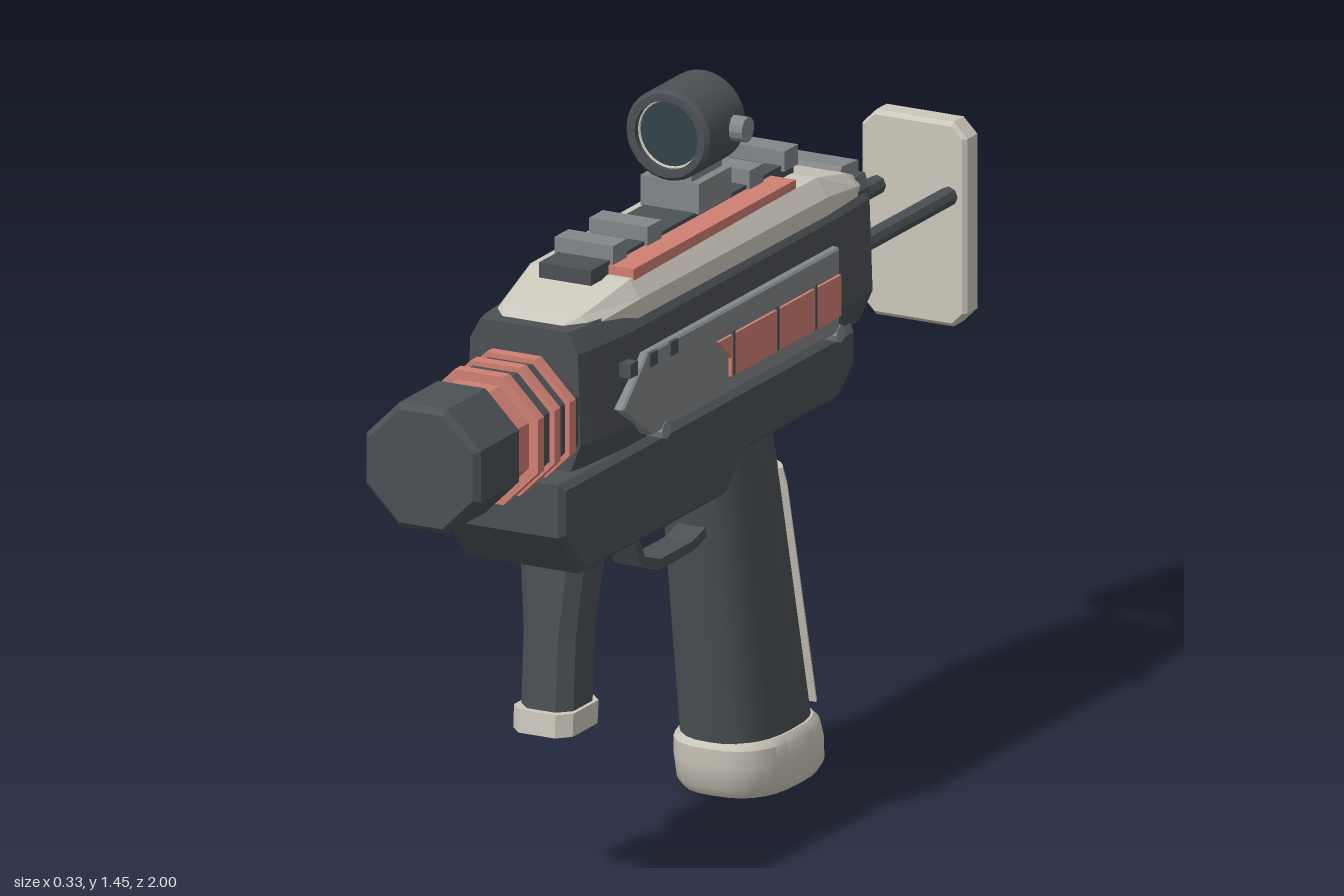
import * as THREE from 'three';
import { toCreasedNormals } from 'three/addons/utils/BufferGeometryUtils.js';

const mat = (color, flatShading = true) => new THREE.MeshStandardMaterial({ color, flatShading });
const DARK = 0x4c5155, GREY = 0x83878a, CREAM = 0xcdc8bc, CORAL = 0xd08073, LENS = 0x33424a;

export function createModel() {
  const model = new THREE.Group();

  const add = (name, geo, color, smooth = false) => {
    const mesh = new THREE.Mesh(smooth ? toCreasedNormals(geo, 0.6) : geo, mat(color, !smooth));
    mesh.name = name;
    model.add(mesh);
    return mesh;
  };
  const box = (name, color, w, h, d, x, y, z) => {
    const mesh = add(name, new THREE.BoxGeometry(w, h, d), color);
    mesh.position.set(x, y, z);
    return mesh;
  };

  // Skin over a series of closed rings, with flat ends
  const loft = (rings) => {
    const n = rings[0].length, idx = [];
    for (let i = 0; i < rings.length - 1; i++)
      for (let j = 0; j < n; j++) {
        const a = i * n + j, b = i * n + (j + 1) % n;
        idx.push(a, b, b + n, a, b + n, a + n);
      }
    const last = (rings.length - 1) * n;
    for (let j = 1; j < n - 1; j++) idx.push(0, j + 1, j, last, last + j, last + j + 1);
    const g = new THREE.BufferGeometry();
    g.setAttribute('position', new THREE.Float32BufferAttribute(rings.flat(2), 3));
    g.setIndex(idx);
    const out = g.toNonIndexed();
    out.computeVertexNormals();
    return out;
  };

  // Side outline in (z, y), extruded across x around the centre
  const slab = (pts, width, bevel) => {
    const shape = new THREE.Shape(pts.map(p => new THREE.Vector2(...p)));
    const depth = width - 2 * bevel;
    const g = new THREE.ExtrudeGeometry(shape, {
      depth, bevelEnabled: bevel > 0, bevelSize: bevel, bevelThickness: bevel, bevelOffset: -bevel, bevelSegments: 1,
    });
    return g.translate(0, 0, -depth / 2).rotateY(-Math.PI / 2);
  };

  // Mirrored cross-section across z, from right-hand points listed bottom to top
  const section = (z, half) => [
    ...half.map(([x, y]) => [x, y, z]),
    ...half.slice().reverse().map(([x, y]) => [-x, y, z]),
  ];

  // Octagonal barrel pieces, flat on top
  const octagon = (name, color, z0, z1, apothem, bevel = 0) => {
    const R = apothem / Math.cos(Math.PI / 8);
    const ring = (z, r) => Array.from({ length: 8 }, (_, i) => {
      const a = (i + 0.5) * Math.PI / 4;
      return [r * Math.cos(a), 0.968 + r * Math.sin(a), z];
    });
    const rings = bevel
      ? [ring(z0, R - bevel), ring(z0 + bevel, R), ring(z1 - bevel, R), ring(z1, R - bevel)]
      : [ring(z0, R), ring(z1, R)];
    add(name, loft(rings), color);
  };
  octagon('muzzle', DARK, 0.825, 1, 0.123, 0.012);
  octagon('muzzleCollar', CORAL, 0.76, 0.83, 0.108);
  octagon('barrel', DARK, 0.5, 0.76, 0.117);
  for (const z of [0.62, 0.68, 0.745]) octagon('barrelRing', CORAL, z, z + 0.025, 0.127);

  // Main housing with its widest line below the middle
  const housing = [[-0.56, 0.84], [-0.53, 0.96], [-0.42, 1], [0.42, 1], [0.56, 0.9], [0.592, 0.84]];
  add('housing', loft(housing.map(([z, s]) => section(z,
    [[0.115 * s, 0.855], [0.145 * s, 0.92], [0.138 * s, 1.1], [0.112 * s, 1.14]]))), DARK);

  // Cream top shell
  const shell = [[-0.55, 0.108, 1.135], [-0.49, 0.128, 1.158], [-0.36, 0.136, 1.186],
    [0.37, 0.13, 1.186], [0.52, 0.104, 1.152], [0.565, 0.075, 1.138]];
  add('topShell', loft(shell.map(([z, w, top]) => section(z,
    [[w, Math.min(1.115, top - 0.025)], [w, top - 0.035 * (top - 1.1) / 0.086], [w * 0.82, top]]))), CREAM);
  add('rearBlock', slab([[-0.48, 0.88], [-0.48, 1.14], [-0.562, 1.14], [-0.562, 0.88]], 0.25, 0.02), DARK);
  add('rearCap', slab([[-0.483, 1.12], [-0.483, 1.15], [-0.495, 1.168], [-0.56, 1.163], [-0.56, 1.12]], 0.185, 0), GREY);
  box('rearButton', CORAL, 0.09, 0.06, 0.03, 0, 1.0, -0.565);

  // Lower frame
  add('lowerFrame', slab([[0.68, 0.865], [0.68, 0.76], [0.595, 0.667], [0.03, 0.667], [-0.04, 0.735],
    [-0.41, 0.735], [-0.478, 0.785], [-0.478, 0.865]], 0.266, 0.012), DARK);

  // Rail, ribs and coloured strip
  box('rail', DARK, 0.112, 0.03, 0.8, 0, 1.197, 0.03);
  for (const z of [0.328, 0.192, -0.211, -0.348]) box('railRib', GREY, 0.126, 0.04, 0.054, 0, 1.221, z);
  box('railStrip', CORAL, 0.06, 0.024, 0.64, 0.08, 1.192, 0.04);

  // Side plates, alike on both sides
  for (const s of [1, -1]) {
    const plate = add('sidePlate', slab([[0.487, 0.965], [0.39, 1.052], [-0.37, 1.052], [-0.37, 0.884], [0.37, 0.884]], 0.03, 0.004), GREY);
    plate.position.x = s * 0.141;
    const panel = add('sidePanel', slab([[0.12, 1.0], [-0.365, 1.0], [-0.365, 0.918], [0.07, 0.918], [0.07, 0.955]], 0.012, 0), CORAL);
    panel.position.x = s * 0.156;
    for (const z of [0.06, -0.115, -0.265]) box('panelDivider', DARK, 0.013, 0.088, 0.008, s * 0.1565, 0.963, z);
    for (const z of [0.45, 0.37, 0.29]) box('sideStud', DARK, 0.03, 0.028, 0.03, s * 0.145, 1.037, z);
    for (const z of [0.317, -0.372]) {
      const pin = add('sidePin', new THREE.CylinderGeometry(0.018, 0.018, 0.035, 8).rotateZ(Math.PI / 2), GREY);
      pin.position.set(s * 0.14, 0.88, z);
    }
  }

  // Rounded horizontal ring for upright parts; a0 to a1 may be only the rear arc
  const oval = (y, zc, rz, rx, power = 0.75, a0 = 0, a1 = Math.PI * 2, n = 28) => {
    const p = v => Math.sign(v) * Math.abs(v) ** power;
    const steps = a1 - a0 > 6 ? n : n - 1;
    return Array.from({ length: n }, (_, i) => {
      const a = a0 + (a1 - a0) * i / steps;
      return [rx * p(Math.cos(a)), y, zc - rz * p(Math.sin(a))];
    });
  };

  // Main grip, back panel and foot
  add('grip', loft([oval(0.1, -0.285, 0.146, 0.103), oval(0.6, -0.187, 0.124, 0.096), oval(0.75, -0.158, 0.12, 0.09)]), DARK, true);
  const rear = [Math.PI / 6, Math.PI * 5 / 6, 16];
  add('gripBackPanel', loft([
    oval(0.14, -0.284, 0.156, 0.113, 0.75, ...rear),
    oval(0.6, -0.187, 0.138, 0.108, 0.75, ...rear),
    oval(0.635, -0.18, 0.132, 0.104, 0.75, ...rear)]), CREAM, true);
  add('gripFoot', loft([
    oval(0, -0.305, 0.15, 0.106), oval(0.018, -0.303, 0.162, 0.117), oval(0.065, -0.296, 0.164, 0.119),
    oval(0.1, -0.288, 0.158, 0.117), oval(0.114, -0.285, 0.146, 0.107)]), CREAM, true);

  // Front grip with a chamfered foot
  const chamfered = (y, zc, rz, rx, c = 0.025) => [
    [rx, y, zc + rz - c], [rx, y, zc - rz + c], [rx - c, y, zc - rz], [c - rx, y, zc - rz],
    [-rx, y, zc - rz + c], [-rx, y, zc + rz - c], [c - rx, y, zc + rz], [rx - c, y, zc + rz]];
  add('frontGrip', loft([chamfered(0.35, 0.462, 0.063, 0.056), chamfered(0.5, 0.452, 0.063, 0.056),
    chamfered(0.68, 0.435, 0.066, 0.072)]), DARK);
  add('frontGripFoot', loft([chamfered(0.313, 0.468, 0.074, 0.064), chamfered(0.358, 0.464, 0.075, 0.064)]), CREAM);

  // Bent bars in the centre plane, from (z, y) points
  const bentBar = (name, pts, width, thick, color) => {
    for (let i = 0; i < pts.length - 1; i++) {
      const [z0, y0] = pts[i], [z1, y1] = pts[i + 1], dz = z1 - z0, dy = y1 - y0;
      const bar = box(name, color, width, thick, Math.hypot(dz, dy) + thick * 0.4, 0, (y0 + y1) / 2, (z0 + z1) / 2);
      bar.rotation.x = -Math.atan2(dy, dz);
    }
  };
  bentBar('triggerGuard', [[0.215, 0.675], [0.205, 0.615], [0.175, 0.56], [0.11, 0.537], [-0.02, 0.537], [-0.08, 0.552]], 0.06, 0.02, DARK);
  bentBar('trigger', [[0.055, 0.675], [0.048, 0.64], [0.032, 0.615]], 0.03, 0.022, GREY);

  // Sight: mount, open tube, lens and knob
  const sy = 1.36, sz = -0.048;
  box('sightMount', GREY, 0.126, 0.06, 0.13, 0, 1.24, sz);
  box('sightNeck', GREY, 0.09, 0.03, 0.12, 0, 1.275, sz);
  const tube = [[0.068, -0.078], [0.083, -0.078], [0.09, -0.07], [0.09, 0.07], [0.083, 0.078], [0.068, 0.078], [0.068, -0.078]];
  const sight = add('sightTube', new THREE.LatheGeometry(tube.map(p => new THREE.Vector2(...p)), 32).rotateX(Math.PI / 2), DARK, true);
  sight.position.set(0, sy, sz);
  const lens = add('sightLens', new THREE.CylinderGeometry(0.069, 0.069, 0.01, 32).rotateX(Math.PI / 2), LENS, true);
  lens.position.set(0, sy, sz + 0.055);
  const rim = add('lensRim', new THREE.TorusGeometry(0.067, 0.003, 6, 32), CREAM, true);
  rim.position.set(0, sy, sz + 0.062);
  const knob = add('sightKnob', new THREE.CylinderGeometry(0.025, 0.025, 0.04, 12).rotateZ(Math.PI / 2), GREY);
  knob.position.set(0.097, sy, sz - 0.03);

  // Sliding stock
  for (const s of [1, -1]) {
    const rod = add('stockRod', new THREE.CylinderGeometry(0.019, 0.019, 0.42, 8).rotateX(Math.PI / 2), DARK);
    rod.position.set(s * 0.077, 0.982, -0.75);
  }
  const w = 0.113, c = 0.03, y0 = 0.722, y1 = 1.128;
  const plate = (z, i) => [[w - c, y0 + i], [w - i, y0 + c], [w - i, y1 - c], [w - c, y1 - i]];
  add('stockPlate', loft([section(-1, plate(0, 0.008)), section(-0.992, plate(0, 0)),
    section(-0.953, plate(0, 0)), section(-0.945, plate(0, 0.008))]), CREAM);

  return model;
}
